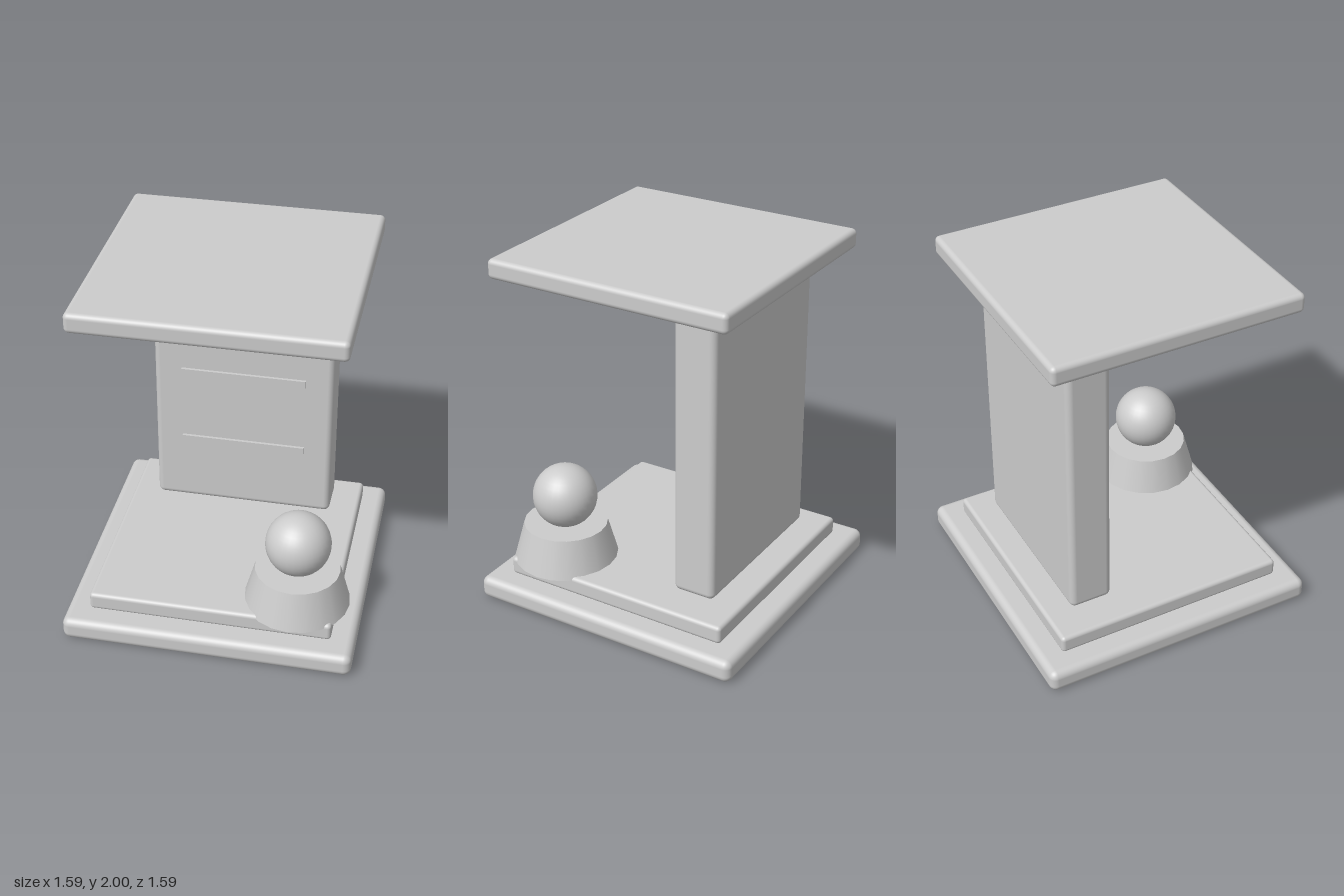
import * as THREE from 'three';
import { RoundedBoxGeometry } from 'three/addons/geometries/RoundedBoxGeometry.js';

export function createModel() {
  const model = new THREE.Group();
  const grey = new THREE.MeshStandardMaterial({ color: 0xcccccc });
  grey.name = 'lightGrey';

  const add = (name, geometry, x, y, z) => {
    const mesh = new THREE.Mesh(geometry, grey);
    mesh.name = name;
    mesh.position.set(x, y, z);
    model.add(mesh);
  };
  // Rounded slab given by its width, depth, bottom and top heights
  const slab = (name, w, d, y0, y1, z, r) =>
    add(name, new RoundedBoxGeometry(w, y1 - y0, d, 4, r), 0, (y0 + y1) / 2, z);

  // Stepped base, rear column and roof
  slab('base', 1.59, 1.59, 0, 0.13, 0, 0.042);
  slab('plinth', 1.335, 1.335, 0.13, 0.232, 0, 0.022);
  slab('column', 1.02, 0.243, 0.26, 1.89, -0.411, 0.035);
  slab('roof', 1.4, 1.4, 1.89, 2, 0, 0.028);

  // Thin bars across the front of the column
  for (const y of [0.675, 1.122, 1.57]) {
    add('columnBar', new THREE.BoxGeometry(0.705, 0.048, 0.035), 0, y, -0.2905);
  }

  // Tapered pedestal carrying a ball at the front left corner
  add('pedestal', new THREE.CylinderGeometry(0.232, 0.291, 0.215, 20), 0.446, 0.321, 0.446);
  add('ball', new THREE.SphereGeometry(0.178, 32, 20), 0.446, 0.59, 0.446);

  return model;
}
